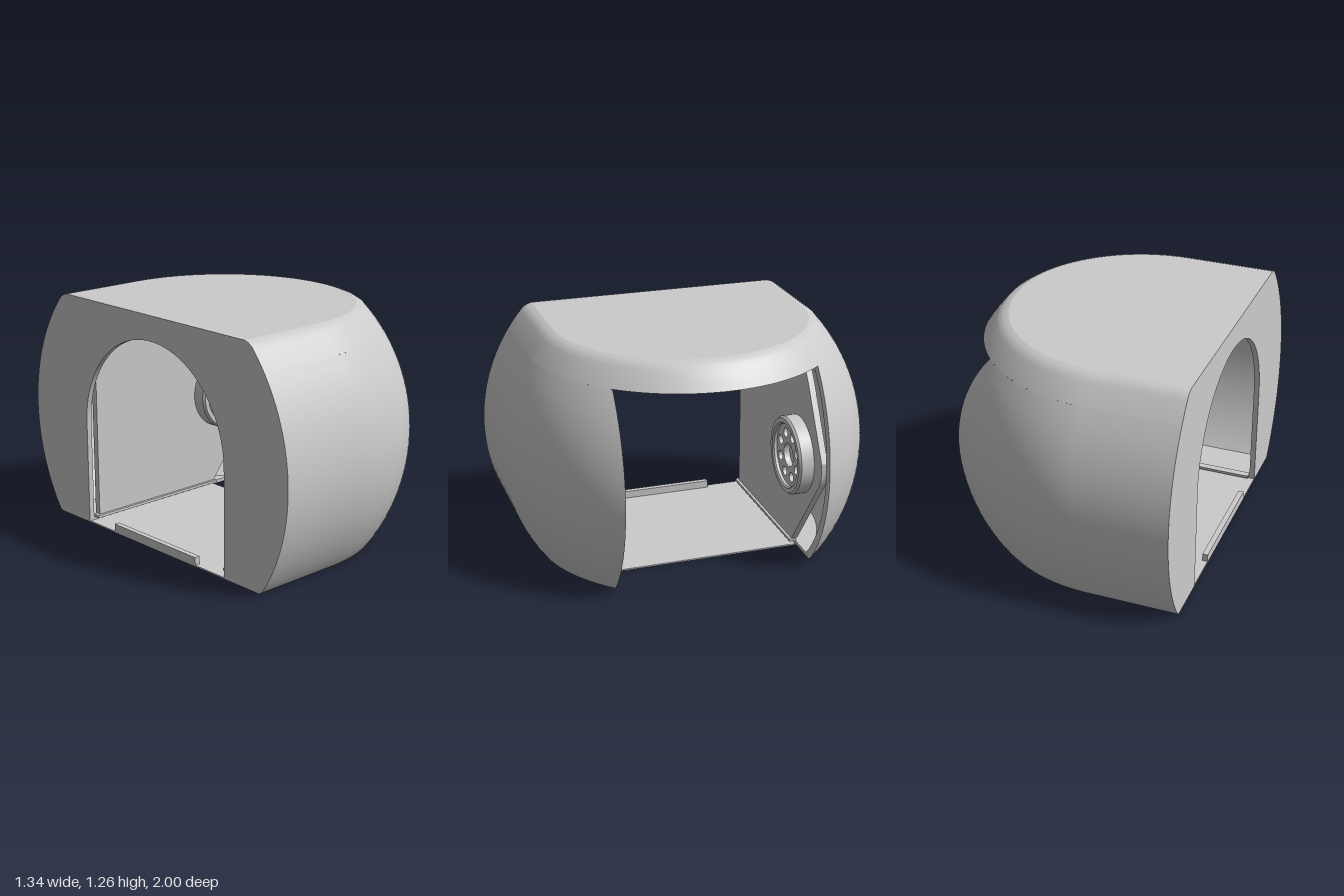
import * as THREE from 'three';
import { toCreasedNormals } from 'three/addons/utils/BufferGeometryUtils.js';

const mat = new THREE.MeshStandardMaterial({ color: 0xcccccc });
const CX = -0.17, CY = 0.58, BACK = -0.67, WALL = 0.03, SLOT = 0.55, SLOT_TOP = 1.13;
const LID_R = 0.7, TOP = 1.265;

// Ball radius at a height, with rounded top and bottom rims
const rims = [[0, 0.805], [0.01, 0.82], [1.225, 0.764], [1.243, 0.748], [1.257, 0.725], [TOP, LID_R]];
function outerR(y) {
  const rim = rims.find((p) => Math.abs(p[0] - y) < 1e-6);
  return rim ? rim[1] : Math.sqrt(1 - (y - CY) ** 2);
}
const innerR = (y) => Math.sqrt(0.96 ** 2 - (y - CY) ** 2);

// Plan outline [x, z]: straight side, then round the nose to the slot or to the far side
function plan(r, full, n = full ? 72 : 32) {
  const end = full ? -Math.PI / 2 : Math.asin(SLOT / r);
  const pts = [[BACK + WALL, r]];
  for (let i = 0; i <= n; i++) {
    const a = Math.PI / 2 + (end - Math.PI / 2) * i / n;
    pts.push([CX + r * Math.cos(a), r * Math.sin(a)]);
  }
  if (full) pts.push([BACK + WALL, -r]);
  return pts;
}

// Hollow wall lofted through plan outlines at the given heights
function shell(ys, full) {
  const pos = [], idx = [];
  let n = 0;
  for (const y of ys) {
    const out = plan(outerR(y), full), inn = plan(innerR(y), full).reverse();
    n = out.length;
    for (const [x, z] of [...out, ...inn]) pos.push(x, y, z);
  }
  const m = 2 * n;
  for (let j = 0; j < ys.length - 1; j++) {
    for (let i = 0; i < m; i++) {
      const a = j * m + i, b = j * m + (i + 1) % m;
      idx.push(a, b, b + m, a, b + m, a + m);
    }
  }
  // underside of the wall
  for (let i = 0; i < n - 1; i++) {
    const p = m - 1 - i;
    idx.push(i, p, p - 1, i, p - 1, i + 1);
  }
  const g = new THREE.BufferGeometry();
  g.setAttribute('position', new THREE.Float32BufferAttribute(pos, 3));
  g.setIndex(idx);
  return g;
}

function mirrorZ(geo) {
  const g = geo.index ? geo.toNonIndexed() : geo.clone();
  g.scale(1, 1, -1);
  const p = g.attributes.position, a = new THREE.Vector3(), b = new THREE.Vector3();
  for (let i = 0; i < p.count; i += 3) {
    a.fromBufferAttribute(p, i + 1);
    b.fromBufferAttribute(p, i + 2);
    p.setXYZ(i + 1, b.x, b.y, b.z);
    p.setXYZ(i + 2, a.x, a.y, a.z);
  }
  return g;
}

const shapeOf = (pts) => new THREE.Shape(pts.map(([x, y]) => new THREE.Vector2(x, y)));
const extrude = (shape, depth) =>
  new THREE.ExtrudeGeometry(shape, { depth, bevelEnabled: false, curveSegments: 32 });

export function createModel() {
  const group = new THREE.Group();
  const add = (name, geo, parent = group) => {
    const mesh = new THREE.Mesh(toCreasedNormals(geo, 0.5), mat);
    mesh.name = name;
    parent.add(mesh);
    return mesh;
  };
  const box = (name, x0, x1, y0, y1, z0, z1) => add(name,
    new THREE.BoxGeometry(x1 - x0, y1 - y0, z1 - z0)
      .translate((x0 + x1) / 2, (y0 + y1) / 2, (z0 + z1) / 2));

  // Side walls either side of the front slot, with their flat bottoms
  const sideYs = [0, 0.01];
  for (let i = 1; i <= 24; i++) sideYs.push(0.01 + (SLOT_TOP - 0.01) * i / 24);
  const side = shell(sideYs, false);
  add('leftSideWall', side);
  add('rightSideWall', mirrorZ(side));
  const foot = extrude(shapeOf([...plan(0.803, false), [BACK + WALL, SLOT]]), 0.02)
    .rotateX(Math.PI / 2).translate(0, 0.02, 0);
  add('leftBottom', foot);
  add('rightBottom', mirrorZ(foot));

  // Rounded top over the slot and its flat lid
  add('topRim', shell([SLOT_TOP, 1.16, 1.195, 1.225, 1.243, 1.257, TOP], true));
  add('lid', extrude(shapeOf(plan(LID_R, true)), 0.025)
    .rotateX(-Math.PI / 2).translate(0, TOP - 0.025, 0));

  // Flat back wall with an arched opening
  const profile = [...sideYs, 1.16, 1.195, 1.225, 1.243, 1.257, TOP].map((y) => [outerR(y), y]);
  const wall = shapeOf([[SLOT, 0], ...profile,
    ...profile.map(([r, y]) => [-r, y]).reverse(), [-SLOT, 0], [-SLOT, CY]]);
  wall.absarc(0, CY, SLOT, Math.PI, 0, true);
  wall.lineTo(SLOT, 0);
  add('backWall', extrude(wall, WALL).rotateY(-Math.PI / 2).translate(BACK + WALL, 0, 0));

  // Floor plate, rear sill and side rails
  box('floor', BACK, 0.24, 0, 0.008, -0.545, 0.545);
  box('rearSill', BACK, BACK + 0.03, 0, 0.05, -0.33, 0.33);
  for (const s of [-1, 1]) {
    const z = s * 0.53;
    box(s > 0 ? 'leftRail' : 'rightRail', BACK + WALL, 0.24, 0.025, 0.04, z - 0.02, z + 0.02);
  }

  // Mounting plate inside the right wall
  const plate = shapeOf([[-0.62, 0.04], [0.23, 0.04], [0.59, 0.51], [0.61, 0.56], [0.61, 0.64],
    [0.4, 1.02], [0.33, 1.12], [-0.62, 1.12]]);
  add('mountPlate', extrude(plate, 0.035).translate(0, 0, -0.56));

  // Wheel hub: stepped drum, recessed face with a ring of holes
  const hub = new THREE.Group();
  hub.name = 'wheelHub';
  hub.position.set(0.3, CY, -0.55);
  group.add(hub);
  const rim = [[0.215, 0], [0.215, 0.095], [0.205, 0.108], [0.18, 0.108], [0.172, 0.1], [0.172, 0.05]];
  add('hubRim', new THREE.LatheGeometry(rim.map(([r, y]) => new THREE.Vector2(r, y)), 48)
    .rotateX(Math.PI / 2), hub);
  const face = new THREE.Shape().absarc(0, 0, 0.173, 0, Math.PI * 2);
  const hole = (x, y, r) => face.holes.push(new THREE.Path().absarc(x, y, r, 0, Math.PI * 2, true));
  hole(0, 0, 0.065);
  for (let i = 0; i < 8; i++) {
    const a = (i + 0.5) * Math.PI / 4;
    hole(0.122 * Math.cos(a), 0.122 * Math.sin(a), 0.027);
  }
  add('hubFace', extrude(face, 0.035).translate(0, 0, 0.05), hub);
  add('hubCore', new THREE.CylinderGeometry(0.173, 0.173, 0.05, 48)
    .rotateX(Math.PI / 2).translate(0, 0, 0.027), hub);

  return group;
}
